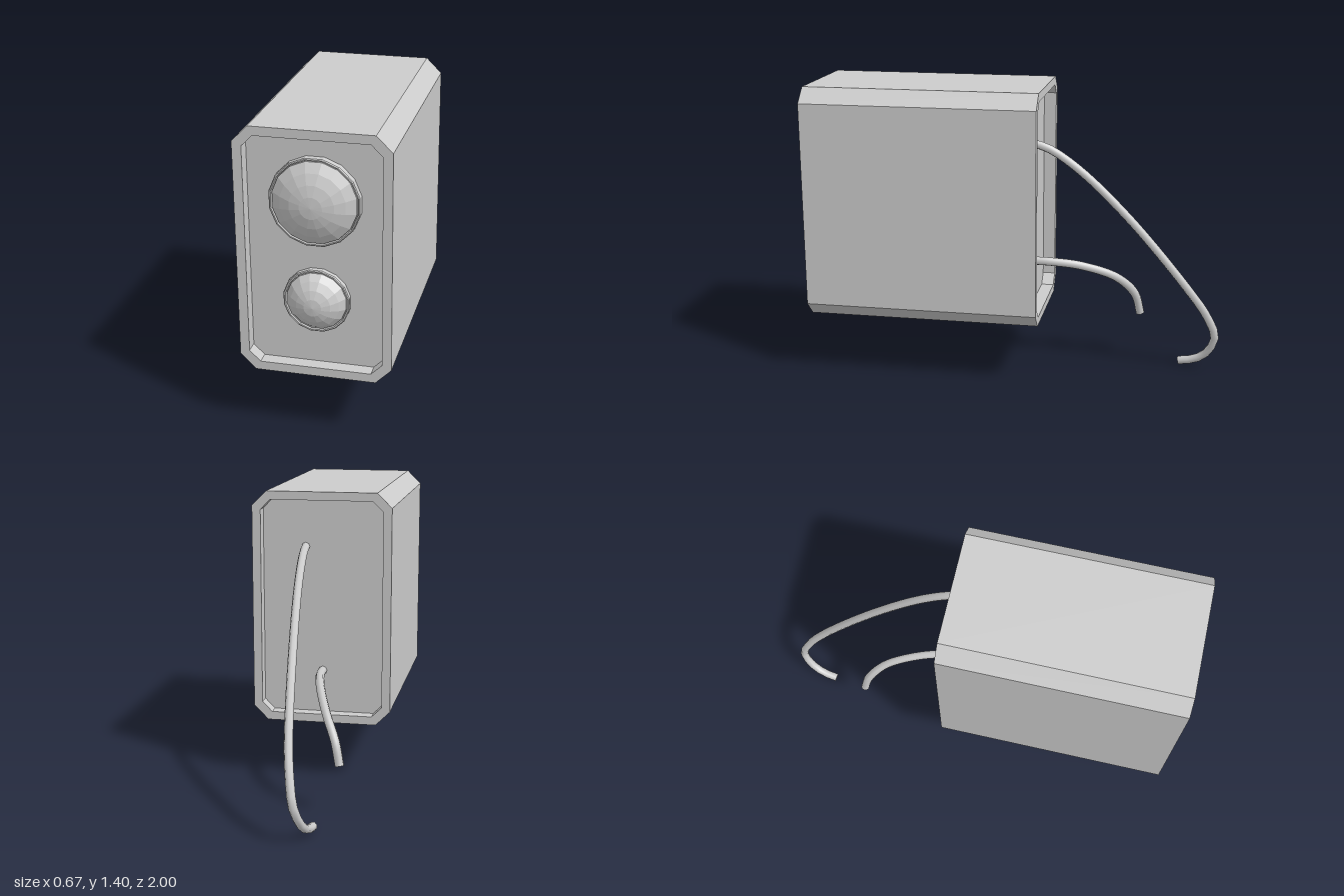
import * as THREE from 'three';

const grey = new THREE.MeshStandardMaterial({ color: 0xcccccc, flatShading: true });
grey.name = 'grey';
const cableGrey = new THREE.MeshStandardMaterial({ color: 0xcccccc });
cableGrey.name = 'cable grey';

const BACK = -0.15, FRONT = 0.966, RECESS = 0.06, MID_Y = 0.848;

// Rectangle with cut corners, centred on the origin
function octagon(w, h, c, Type = THREE.Shape) {
  const pts = [
    [w - c, -h], [w, c - h], [w, h - c], [w - c, h],
    [c - w, h], [-w, h - c], [-w, c - h], [c - w, -h],
  ];
  return new Type(pts.map(([x, y]) => new THREE.Vector2(x, y)));
}

function add(parent, name, geometry, material = grey) {
  const mesh = new THREE.Mesh(geometry, material);
  mesh.name = name;
  parent.add(mesh);
  return mesh;
}

// Faceted dome lens in a thin raised rim, facing +z
function lampGeometry(rimR, domeR, sphereR) {
  const floor = FRONT - RECESS, apex = 1 - floor;
  const rimTop = apex - sphereR + Math.sqrt(sphereR ** 2 - domeR ** 2) + 0.004;
  const profile = [
    [rimR, 0], [rimR, rimTop - 0.004], [rimR - 0.004, rimTop],
    [domeR + 0.005, rimTop], [domeR + 0.002, rimTop - 0.015], [domeR, rimTop - 0.015],
  ];
  const edge = Math.asin(domeR / sphereR), rings = 4;
  for (let i = rings; i >= 0; i--) {
    const a = edge * i / rings;
    profile.push([sphereR * Math.sin(a), apex - sphereR * (1 - Math.cos(a))]);
  }
  return new THREE.LatheGeometry(profile.map(([r, y]) => new THREE.Vector2(r, y)), 16, Math.PI / 16)
    .rotateX(Math.PI / 2);
}

// Round cable along a smooth path, with capped end
function addCable(parent, name, points, radius) {
  const curve = new THREE.CatmullRomCurve3(points.map(p => new THREE.Vector3(...p)));
  const cable = new THREE.Group();
  cable.name = name;
  add(cable, name + 'Tube', new THREE.TubeGeometry(curve, 32, radius, 8), cableGrey);
  const cap = add(cable, name + 'End', new THREE.CircleGeometry(radius, 8), cableGrey);
  cap.position.copy(curve.getPoint(1));
  cap.quaternion.setFromUnitVectors(new THREE.Vector3(0, 0, 1), curve.getTangent(1));
  parent.add(cable);
}

export function createModel() {
  const model = new THREE.Group();
  model.name = 'lampBox';

  // Open-ended housing
  const shell = octagon(0.333, 0.557, 0.069);
  shell.holes.push(octagon(0.292, 0.517, 0.048, THREE.Path));
  add(model, 'housing', new THREE.ExtrudeGeometry(shell, { depth: FRONT - BACK, bevelEnabled: false }))
    .position.set(0, MID_Y, BACK);

  // Recessed end panels
  const panel = new THREE.ShapeGeometry(octagon(0.292, 0.517, 0.048));
  add(model, 'frontPanel', panel).position.set(0, MID_Y, FRONT - RECESS);
  const back = add(model, 'backPanel', panel);
  back.position.set(0, MID_Y, BACK + RECESS);
  back.rotation.y = Math.PI;

  // Lamps
  add(model, 'largeLamp', lampGeometry(0.196, 0.182, 0.29)).position.set(0, 1.083, FRONT - RECESS);
  add(model, 'smallLamp', lampGeometry(0.146, 0.131, 0.155)).position.set(0, 0.632, FRONT - RECESS);

  // Cables leaving the back
  addCable(model, 'upperCable', [
    [0.087, 1.14, -0.08], [0.083, 1.12, -0.16], [0.073, 1.02, -0.31], [0.047, 0.78, -0.555],
    [0.005, 0.42, -0.85], [-0.02, 0.28, -0.943], [-0.042, 0.17, -0.98],
    [-0.07, 0.07, -0.93], [-0.085, 0.035, -0.865], [-0.092, 0.024, -0.805],
  ], 0.02);
  addCable(model, 'lowerCable', [
    [0.005, 0.535, -0.08], [0.002, 0.533, -0.17], [-0.03, 0.51, -0.32], [-0.09, 0.44, -0.49],
    [-0.147, 0.34, -0.578], [-0.172, 0.235, -0.604],
  ], 0.021);
  return model;
}
